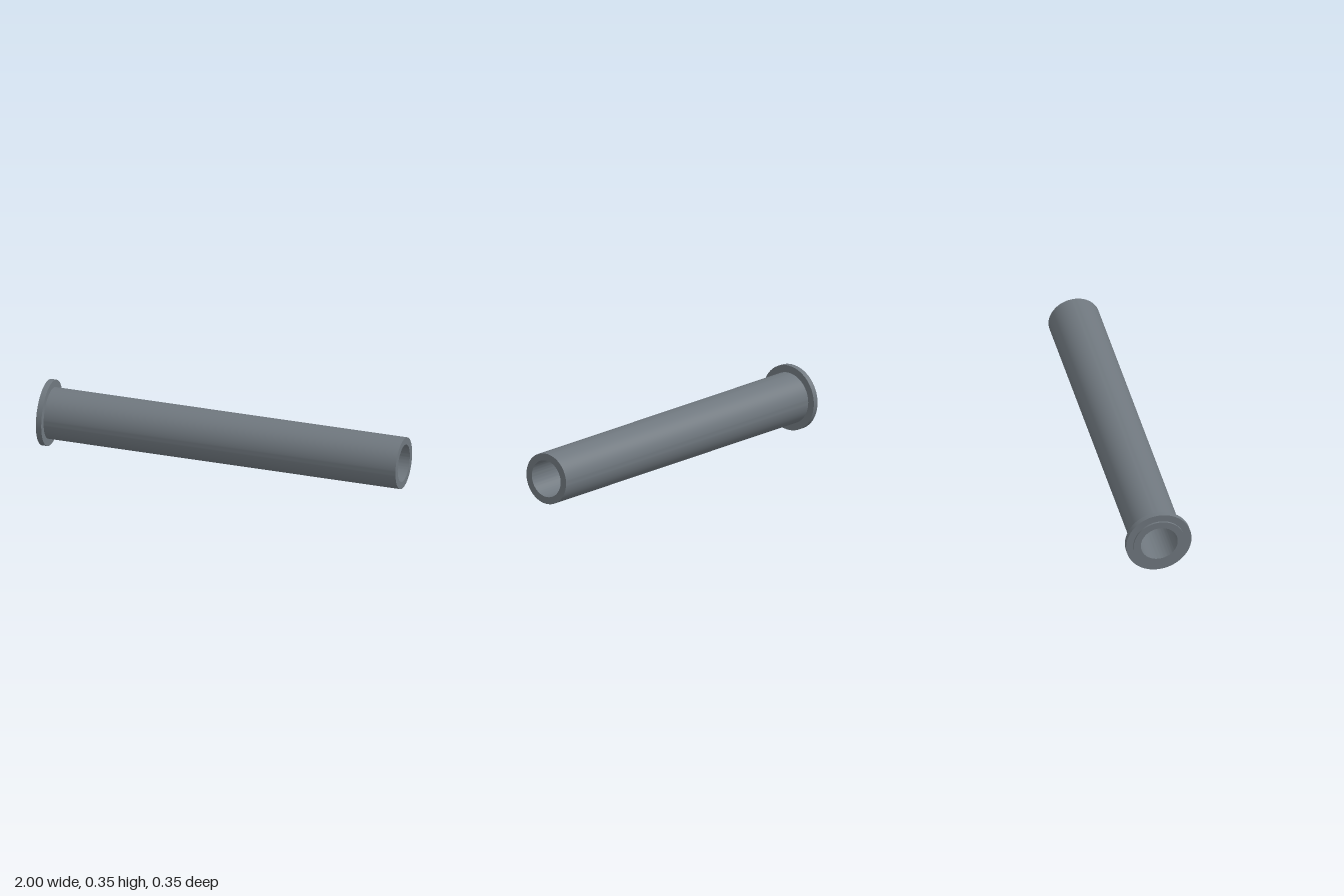
import * as THREE from 'three';
import { toCreasedNormals } from 'three/addons/utils/BufferGeometryUtils.js';

const INNER = 0.1, OUTER = 0.138, FLANGE = 0.177;

// Revolve a [radius, x] profile around the x axis, keeping edges sharp
function turned(name, profile, material) {
  const points = profile.map(([r, x]) => new THREE.Vector2(r, x));
  const geometry = toCreasedNormals(new THREE.LatheGeometry(points, 96), Math.PI / 6);
  geometry.rotateZ(-Math.PI / 2);
  const mesh = new THREE.Mesh(geometry, material);
  mesh.name = name;
  mesh.position.y = FLANGE;
  return mesh;
}

export function createModel() {
  const group = new THREE.Group();
  group.name = 'flangedTube';
  const material = new THREE.MeshStandardMaterial({ color: 0x6f777e });

  // Hollow tube, open right through
  group.add(turned('tube', [
    [INNER, -1], [OUTER, -1], [OUTER, 1], [INNER, 1], [INNER, -1],
  ], material));

  // Thin collar set just in from one end
  group.add(turned('flange', [
    [OUTER, -0.99], [FLANGE, -0.99], [FLANGE, -0.96], [OUTER, -0.96],
  ], material));

  return group;
}
